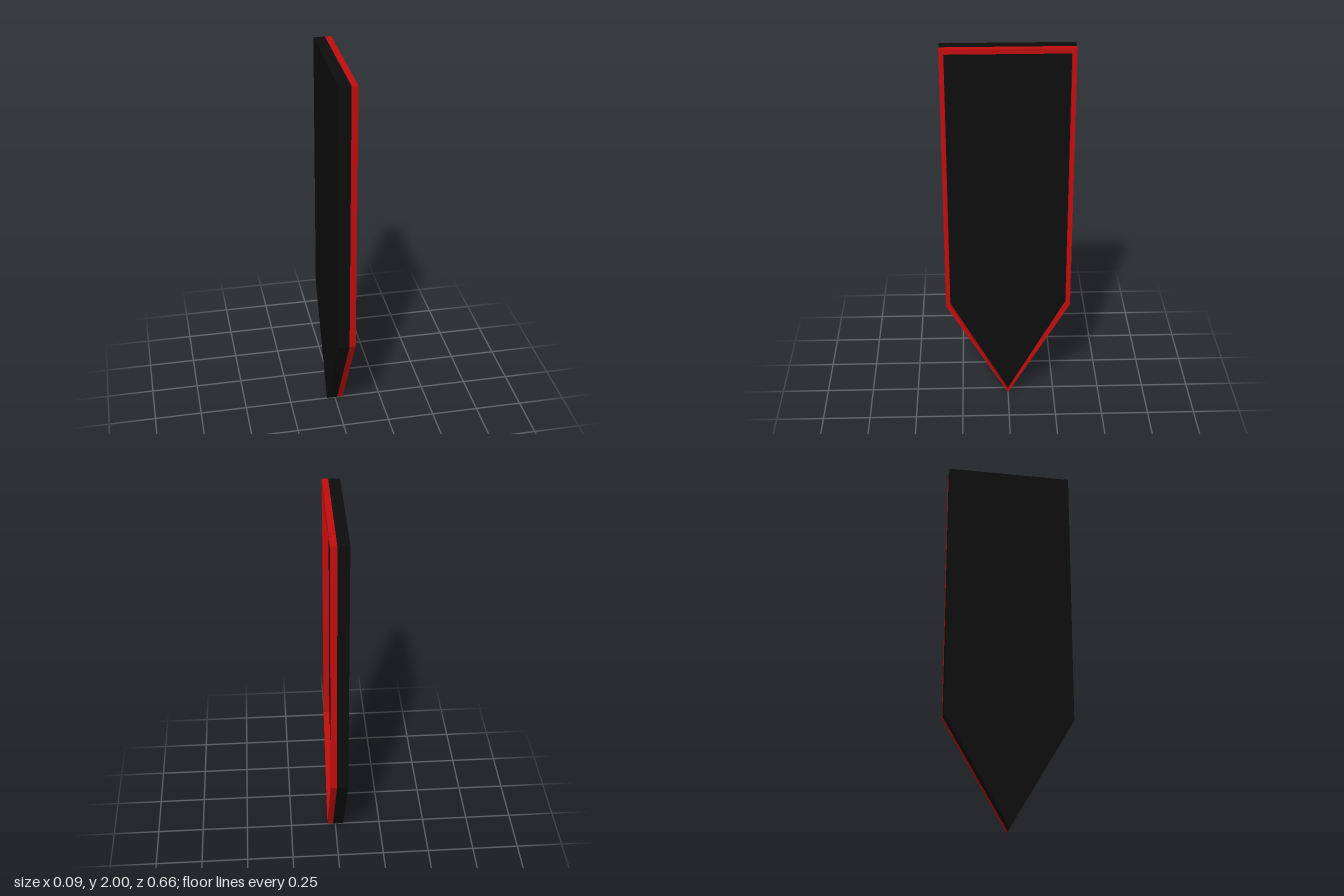
import * as THREE from 'three';

// Pennant outline: square top, shoulders, pointed foot
function outline(halfWidth, top, shoulder, tip) {
  return [[-halfWidth, top], [-halfWidth, shoulder], [0, tip], [halfWidth, shoulder], [halfWidth, top]]
    .map(([x, y]) => new THREE.Vector2(x, y));
}

// Extrude a shape so that its thickness runs along x from x0 to x1
function slab(name, shape, x0, x1, color) {
  const geometry = new THREE.ExtrudeGeometry(shape, { depth: x1 - x0, bevelEnabled: false });
  geometry.translate(0, 0, x0).rotateY(Math.PI / 2);
  const mesh = new THREE.Mesh(geometry, new THREE.MeshStandardMaterial({ color }));
  mesh.name = name;
  return mesh;
}

export function createModel() {
  const group = new THREE.Group();
  group.name = 'pennantPlaque';
  const outer = outline(0.33, 2, 0.57, 0);

  // Solid dark backing panel
  group.add(slab('backPanel', new THREE.Shape(outer), -0.045, 0.013, 0x0d0d0d));

  // Raised red border, thinning towards the tip
  const rim = new THREE.Shape(outer);
  rim.holes.push(new THREE.Path(outline(0.307, 1.974, 0.57, 0.006).reverse()));
  group.add(slab('raisedRim', rim, 0.013, 0.045, 0xc00d0d));

  return group;
}
